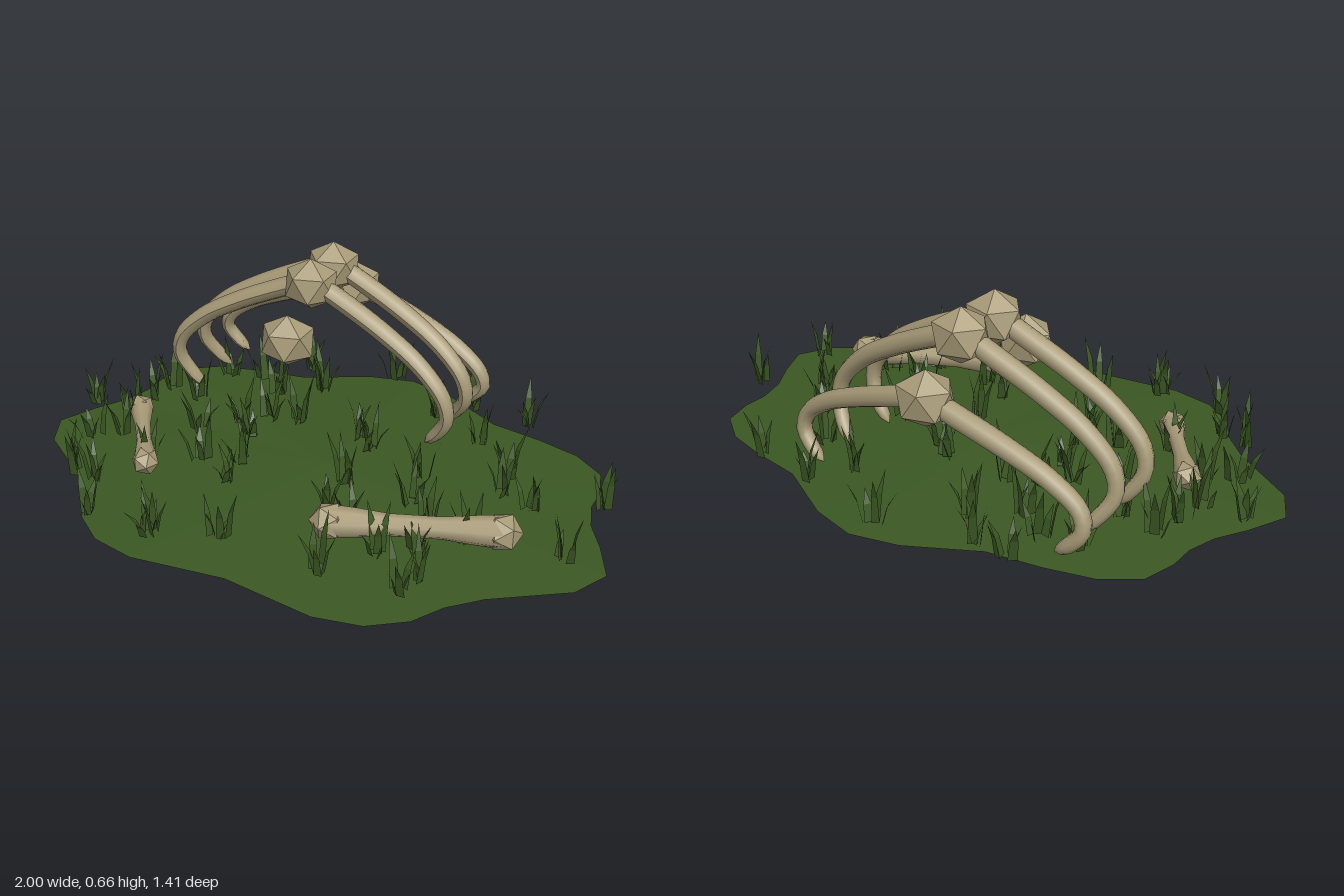
import * as THREE from 'three';

const V = (x, y, z) => new THREE.Vector3(x, y, z);

function flat(geo) {
  const g = geo.index ? geo.toNonIndexed() : geo;
  g.computeVertexNormals();
  return g;
}

function add(parent, name, geo, mat) {
  const m = new THREE.Mesh(geo, mat);
  m.name = name;
  parent.add(m);
  return m;
}

// Tube whose radius follows r(t), closed to a blunt tip at both ends
function taperedTube(curve, segs, sides, r) {
  const g = new THREE.TubeGeometry(curve, segs, 1, sides, false);
  const p = g.attributes.position, c = V(0, 0, 0), v = V(0, 0, 0);
  for (let i = 0; i <= segs; i++) {
    curve.getPointAt(i / segs, c);
    for (let j = 0; j <= sides; j++) {
      const k = i * (sides + 1) + j;
      v.fromBufferAttribute(p, k).sub(c).multiplyScalar(r(i / segs)).add(c);
      p.setXYZ(k, v.x, v.y, v.z);
    }
  }
  g.computeVertexNormals();
  return g;
}

// Icosahedron standing on one corner
function knob(r) {
  return flat(new THREE.IcosahedronGeometry(r, 0).rotateZ(Math.atan(2 / (1 + Math.sqrt(5)))));
}

export function createModel() {
  const model = new THREE.Group();
  model.name = 'bonesInGrass';
  const bone = new THREE.MeshStandardMaterial({ color: 0xa89b78 });
  bone.name = 'bone';
  const green = new THREE.MeshStandardMaterial({ color: 0x3b5723, side: THREE.DoubleSide });
  green.name = 'grass green';

  // Ground: shallow dome over a mirrored wavy outline
  const half = [[0, -0.71], [0.16, -0.67], [0.38, -0.55], [0.56, -0.52], [0.71, -0.48],
    [0.82, -0.4], [0.85, -0.29], [0.85, -0.2], [0.88, -0.1], [0.94, 0], [1, 0.13],
    [0.94, 0.25], [0.72, 0.4], [0.63, 0.49], [0.57, 0.59], [0.46, 0.67], [0.31, 0.7], [0, 0.66]];
  const outline = half.concat(half.slice(1, -1).reverse().map(([x, z]) => [-x, z]));
  const tris = [];
  outline.forEach(([x, z], i) => {
    const [x2, z2] = outline[(i + 1) % outline.length];
    tris.push(0, 0.033, 0, x2, 0, z2, x, 0, z);
  });
  const groundGeo = new THREE.BufferGeometry();
  groundGeo.setAttribute('position', new THREE.Float32BufferAttribute(tris, 3));
  groundGeo.computeVertexNormals();
  add(model, 'ground', groundGeo, green);

  // Spine: four vertebrae, the rear three carrying a pair of ribs
  const spineX = -0.17;
  const spine = [[0.43, -0.05, 0], [0.565, -0.215, 1], [0.565, -0.38, 1], [0.43, -0.547, 0.75]];
  const ribRadius = t => t > 0.999 ? 0.001 : t > 0.96 ? 0.018 : 0.034 - 0.013 * t * t;
  spine.forEach(([y, z, rise], i) => {
    const vert = add(model, 'vertebra', knob(0.09), bone);
    vert.position.set(spineX, y, z);
    vert.scale.x = 1.1;
    if (!rise) return;
    const tipZ = [0, 0.005, -0.015, 0.02][i];
    for (const s of [-1, 1]) {
      const path = [[0.03, 0.565, 0], [0.1, 0.535, 0.002], [0.27, 0.455, 0.015], [0.41, 0.37, 0.028],
        [0.5, 0.275, 0.036], [0.515, 0.2, 0.03], [0.48, 0.13, 0.012], [0.43, 0.075, 0]]
        .map(([px, py, pz], k) => V(spineX + s * px, 0.075 + (py - 0.075) * (rise < 1 ? 0.72 : 1),
          z + pz + (k > 5 ? tipZ * (k - 5) / 2 : 0)));
      add(model, s > 0 ? 'leftRib' : 'rightRib',
        taperedTube(new THREE.CatmullRomCurve3(path), 28, 8, ribRadius), bone);
    }
  });

  // Loose long bones: waisted shaft with a faceted knob at each end
  function longBone(name, a, b, rEnd, rMid) {
    const g = new THREE.Group();
    g.name = name;
    const len = a.distanceTo(b);
    const prof = [[0, rEnd * 0.85], [0.15, rEnd * 0.75], [0.35, rMid], [0.65, rMid], [0.85, rEnd * 0.75], [1, rEnd * 0.85]]
      .map(([t, r]) => new THREE.Vector2(r, (t - 0.5) * len));
    add(g, 'shaft', new THREE.LatheGeometry(prof, 8), bone);
    for (const s of [-1, 1]) add(g, 'boneEnd', knob(rEnd), bone).position.y = s * len / 2;
    g.position.copy(a).add(b).multiplyScalar(0.5);
    g.quaternion.setFromUnitVectors(V(0, 1, 0), b.clone().sub(a).normalize());
    model.add(g);
  }
  longBone('shortBone', V(-0.705, 0.085, 0.045), V(-0.5, 0.08, 0.325), 0.047, 0.026);
  longBone('longBone', V(0.2, 0.095, 0.375), V(0.685, 0.085, 0.175), 0.062, 0.035);

  // Grass: tufts of leaning, bent blades
  let seed = 7;
  const rnd = () => (seed = (seed * 16807) % 2147483647) / 2147483647;
  const spots = [-0.05, -0.66, -0.47, -0.56, -0.35, -0.57, -0.48, -0.43, -0.4, -0.11, -0.93, 0.01,
    -0.78, 0, -0.8, 0.21, -0.72, 0.13, -0.64, 0.43, -0.72, 0.42, -0.32, 0.61, -0.53, 0.6,
    -0.1, 0.52, 0.24, 0.53, 0.5, 0.51, 0.53, 0.45, 0.35, 0.38, 0.24, 0.3, 0.13, 0.24,
    0.11, 0.08, 0.35, 0.08, 0.31, -0.07, 0.56, -0.21, 0.4, -0.36, 0.59, -0.1, 0.9, -0.16,
    0.52, -0.55, 0.28, -0.58, 0.7, -0.05, 0.87, 0.14, 0.58, 0.2, 0.43, 0.16, 0.02, -0.21,
    0.09, -0.16, -0.5, 0, -0.62, -0.19, -0.77, -0.1, -0.55, 0.24, -0.24, 0.24, -0.27, 0.11,
    -0.38, 0.16, -0.21, -0.21, -0.37, -0.35, -0.32, -0.19, -0.6, -0.4, -0.32, -0.04,
    -0.3, 0.58, 0.46, 0.3, -0.25, -0.45, 0.2, -0.45, -0.75, -0.22];
  const blades = [];
  for (let i = 0; i < spots.length; i += 2) {
    const turn = rnd() * 6.28;
    for (let k = 0; k < 5; k++) {
      const a = turn + k * 1.26 + rnd() * 0.6;
      const h = 0.07 + rnd() * 0.11, lean = 0.025 + rnd() * 0.03, w = 0.011 + rnd() * 0.005;
      const dx = Math.cos(a), dz = Math.sin(a);
      const x = spots[i] + dx * 0.012 + (rnd() - 0.5) * 0.04;
      const z = spots[i + 1] + dz * 0.012 + (rnd() - 0.5) * 0.04;
      // along = distance outward, side = across the blade
      const pt = (along, side, y) => [x + dx * along - dz * side, 0.03 + y, z + dz * along + dx * side];
      const A = pt(0, -w, 0), B = pt(0, w, 0), C = pt(lean * 0.35, w * 0.8, h * 0.55),
        D = pt(lean * 0.35, -w * 0.8, h * 0.55), T = pt(lean, 0, h);
      blades.push(...A, ...B, ...C, ...A, ...C, ...D, ...D, ...C, ...T);
    }
  }
  const grassGeo = new THREE.BufferGeometry();
  grassGeo.setAttribute('position', new THREE.Float32BufferAttribute(blades, 3));
  grassGeo.computeVertexNormals();
  add(model, 'grass', grassGeo, green);

  return model;
}
